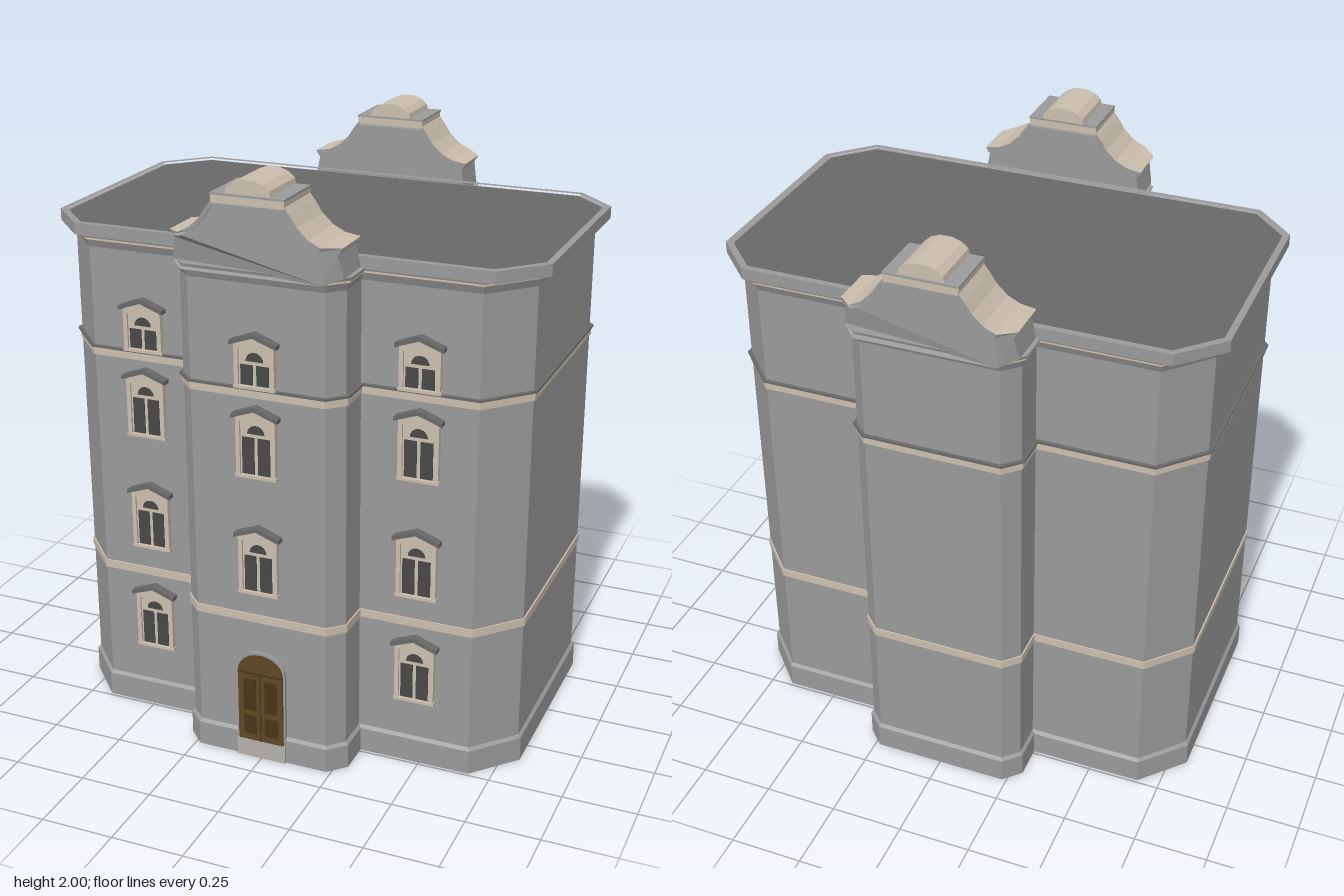
import * as THREE from 'three';

const mat = (name, color) => Object.assign(new THREE.MeshStandardMaterial({ color }), { name });
const stone = mat('grey stone', 0x9a9a9a);
const slate = mat('dark slate', 0x686868);
const tan = mat('tan trim', 0xcbbfae);
const glass = mat('dark glass', 0x484848);
const wood = mat('brown wood', 0x5e4623);
const darkWood = mat('dark wood', 0x493518);
const stepStone = mat('pale step', 0xb4b0aa);

function add(parent, name, geometry, material, x = 0, y = 0, z = 0) {
  const m = new THREE.Mesh(geometry, material);
  m.name = name;
  m.position.set(x, y, z);
  parent.add(m);
  return m;
}
const box = (w, h, d) => new THREE.BoxGeometry(w, h, d);
const extrude = (pts, depth) => new THREE.ExtrudeGeometry(
  new THREE.Shape(pts.map(([x, y]) => new THREE.Vector2(x, y))), { depth, bevelEnabled: false });

// one quarter of an outline mirrored into a full counter-clockwise loop of [x, z]
function mirrorQuarter(q) {
  const half = [...q, ...q.map(([x, z]) => [-x, z]).reverse()];
  return [...half, ...half.map(([x, z]) => [-x, -z])];
}
// chamfered block with a chamfered bay front and back, grown by o
const footprint = (o) => mirrorQuarter([
  [0.8 + o, 0.34 + o * 0.4], [0.67 + o * 0.4, 0.48 + o], [0.28 + o, 0.48 + o],
  [0.28 + o, 0.6 + o * 0.4], [0.23 + o * 0.4, 0.65 + o]]);
const roofOutline = (o) => mirrorQuarter([[0.845 - o, 0.36 - o * 0.4], [0.71 - o * 0.4, 0.5 - o]]);

// closed solid between two outlines at heights y0 and y1
function loft(a, b, y0, y1) {
  const pos = [];
  const n = a.length;
  const put = (p, y) => pos.push(p[0], y, p[1]);
  for (let i = 0; i < n; i++) {
    const j = (i + 1) % n;
    put(a[i], y0); put(b[i], y1); put(a[j], y0);
    put(a[j], y0); put(b[i], y1); put(b[j], y1);
  }
  const tris = THREE.ShapeUtils.triangulateShape(a.map(([x, z]) => new THREE.Vector2(x, z)), []);
  for (const [i, j, k] of tris) {
    const area = (a[j][0] - a[i][0]) * (a[k][1] - a[i][1]) - (a[j][1] - a[i][1]) * (a[k][0] - a[i][0]);
    const [p, q] = area > 0 ? [j, k] : [k, j];
    put(a[i], y0); put(a[p], y0); put(a[q], y0);
    put(b[i], y1); put(b[q], y1); put(b[p], y1);
  }
  const g = new THREE.BufferGeometry();
  g.setAttribute('position', new THREE.Float32BufferAttribute(pos, 3));
  g.computeVertexNormals();
  return g;
}

// window with surround, panes and pitched hood; h is the full height
function makeWindow(h) {
  const g = new THREE.Group();
  g.name = 'window';
  const top = h - 0.04;
  add(g, 'windowBack', box(0.13, top, 0.012), tan, 0, top / 2, 0.006);
  const paneH = h - 0.12;
  for (const s of [-1, 1]) {
    add(g, 'jamb', box(0.014, top, 0.02), tan, s * 0.061, top / 2, 0.01);
    add(g, 'pane', box(0.042, paneH, 0.003), glass, s * 0.027, 0.012 + paneH / 2, 0.013);
  }
  add(g, 'transomPane', new THREE.CircleGeometry(0.03, 10, 0, Math.PI), glass, 0, paneH + 0.024, 0.0135);
  add(g, 'sill', box(0.142, 0.01, 0.022), tan, 0, 0.005, 0.011);
  add(g, 'lintel', box(0.13, 0.014, 0.02), tan, 0, top - 0.007, 0.01);
  add(g, 'tympanum', extrude([[-0.07, h - 0.042], [0.07, h - 0.042], [0, h - 0.012]], 0.02), tan);
  add(g, 'hood', extrude([[-0.08, h - 0.044], [0, h - 0.015], [0.08, h - 0.044],
    [0.08, h - 0.03], [0, h], [-0.08, h - 0.03]], 0.03), slate);
  return g;
}

// curved gable with chamfered outer corners, back face at z = 0
function makeGable() {
  const g = new THREE.Group();
  g.name = 'gable';
  const chamfer = (geo, depth) => {
    const p = geo.attributes.position;
    for (let i = 0; i < p.count; i++)
      if (p.getZ(i) > depth / 2) p.setZ(i, p.getZ(i) - Math.max(0, Math.abs(p.getX(i)) - 0.235));
    geo.computeVertexNormals();
    return geo;
  };
  const curve = [[0.285, 1.812], [0.235, 1.82], [0.195, 1.84], [0.16, 1.873], [0.137, 1.908], [0.12, 1.93]];
  const flip = (pts) => pts.map(([x, y]) => [-x, y]).reverse();
  const lower = curve.map(([x, y]) => [x - 0.006, y - 0.012]);
  const side = [[0.235, 1.7], [0.285, 1.715], [0.27, 1.79], ...lower];
  add(g, 'gableBody', chamfer(extrude([...side, ...flip(side)], 0.183), 0.183), stone);
  const strip = [...curve, ...[...lower].reverse()];
  for (const pts of [strip, flip(strip)])
    add(g, 'gableCoping', chamfer(extrude(pts, 0.195), 0.195), [stone, tan]);
  // cap slab and rounded crest
  add(g, 'gableCap', box(0.24, 0.025, 0.195), tan, 0, 1.936, 0.0975);
  add(g, 'gableCapTop', box(0.244, 0.006, 0.197), stone, 0, 1.951, 0.0975);
  add(g, 'gableCrest', extrude([[-0.075, 1.95], [0.075, 1.95], [0.07, 1.972], [0.05, 1.989],
    [0.02, 2], [-0.02, 2], [-0.05, 1.989], [-0.07, 1.972]], 0.19), tan);
  return g;
}

// arched outline standing on y = 0
function archShape(w, spring, rise) {
  const pts = [[-w, 0], [w, 0]];
  for (let i = 0; i <= 12; i++) {
    const a = (i / 12) * Math.PI;
    pts.push([w * Math.cos(a), spring + rise * Math.sin(a)]);
  }
  return pts;
}

function makeDoor() {
  const g = new THREE.Group();
  g.name = 'door';
  add(g, 'doorSurround', extrude(archShape(0.088, 0.265, 0.072), 0.012), stone);
  add(g, 'doorLeaf', extrude(archShape(0.081, 0.262, 0.066), 0.005), wood, 0, 0, 0.012);
  add(g, 'doorSeam', box(0.004, 0.26, 0.002), darkWood, 0, 0.13, 0.018);
  for (const s of [-1, 1])
    for (const [y, h] of [[0.06, 0.07], [0.175, 0.12]])
      add(g, 'doorPanel', box(0.045, h, 0.002), darkWood, s * 0.038, y, 0.0175);
  add(g, 'doorTransom', box(0.162, 0.006, 0.004), darkWood, 0, 0.258, 0.018);
  return g;
}

export function createModel() {
  const model = new THREE.Group();
  model.name = 'building';

  // walls, plinth and mouldings as stacked layers: name, y0, y1, offset0, offset1, material
  const layers = [
    ['plinth', 0, 0.085, 0.01, 0.01, stone],
    ['plinthSlope', 0.085, 0.095, 0.01, 0, stone],
    ['walls', 0.09, 1.67, 0, 0, stone],
    ['lowerBand', 0.51, 0.538, 0.005, 0.005, tan],
    ['upperBand', 1.3, 1.327, 0.005, 0.005, tan],
    ['upperLedge', 1.327, 1.334, 0.012, 0.012, slate],
    ['corniceFlare', 1.67, 1.697, 0, 0.012, stone],
    ['corniceLine', 1.697, 1.704, 0.014, 0.014, tan],
    ['corniceTop', 1.704, 1.715, 0.016, 0.02, stone],
  ];
  for (const [name, y0, y1, o0, o1, m] of layers)
    add(model, name, loft(footprint(o0), footprint(o1), y0, y1), m);

  // roof slab, raised rim and roof surface
  add(model, 'roofSlab', loft(roofOutline(0), roofOutline(0), 1.71, 1.738), stone);
  add(model, 'roofSurface', loft(roofOutline(0.02), roofOutline(0.02), 1.73, 1.742), slate);
  const v2 = (o) => roofOutline(o).map(([x, z]) => new THREE.Vector2(x, -z));
  const rimShape = new THREE.Shape(v2(0));
  rimShape.holes.push(new THREE.Path(v2(0.022)));
  const rim = new THREE.ExtrudeGeometry(rimShape, { depth: 0.015, bevelEnabled: false });
  add(model, 'roofRim', rim.rotateX(-Math.PI / 2), stone, 0, 1.735, 0);

  // gables over the front and back bays
  for (const s of [1, -1]) {
    const gable = makeGable();
    gable.position.z = s * 0.5;
    gable.rotation.y = s > 0 ? 0 : Math.PI;
    model.add(gable);
  }

  // front windows in three columns; the door replaces the lowest middle one
  for (const x of [-0.48, 0, 0.48])
    for (const [y, h] of [[0.235, 0.245], [0.62, 0.245], [1.033, 0.245], [1.334, 0.186]]) {
      if (x === 0 && y < 0.5) continue;
      const w = makeWindow(h);
      w.position.set(x, y, x === 0 ? 0.65 : 0.48);
      model.add(w);
    }

  const door = makeDoor();
  door.position.set(0, 0.065, 0.65);
  model.add(door);
  add(model, 'doorStep', box(0.175, 0.065, 0.02), stepStone, 0, 0.0325, 0.658);
  return model;
}
